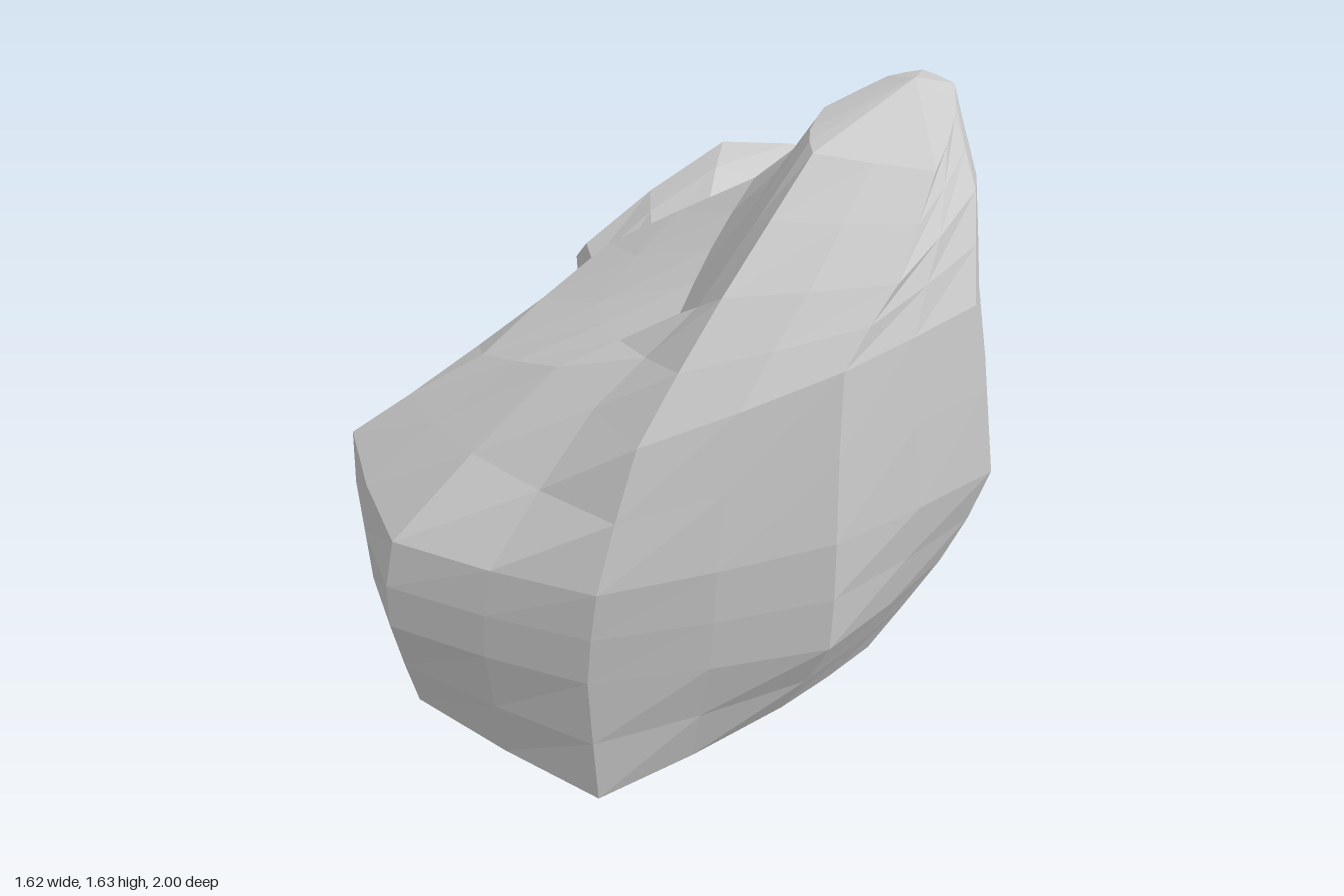
import * as THREE from 'three';

const material = new THREE.MeshStandardMaterial({ color: 0xcccccc, flatShading: true });
const vec = (p) => new THREE.Vector3(...p);

// Point between b and c, bulged softly along the run a-b-c-d
function between(a, b, c, d, bulge) {
  return b.clone().add(c).multiplyScalar(0.5 + bulge / 8)
    .addScaledVector(a, -bulge / 8).addScaledVector(d, -bulge / 8);
}

// Insert a softened midpoint between neighbours of a list
function refine(list, closed, bulge) {
  const n = list.length, out = [];
  const at = (i) => closed ? list[(i + n) % n] : list[Math.min(Math.max(i, 0), n - 1)];
  for (let i = 0; i < n; i++) {
    out.push(list[i].clone());
    if (closed || i < n - 1) out.push(between(at(i - 1), at(i), at(i + 1), at(i + 2), bulge));
  }
  return out;
}

// Faceted stone skinned over rings, closed with a fan at each end
function stone(name, rings, startPoint, endPoint) {
  const cols = rings[0].length, verts = [], index = [];
  rings.forEach((ring) => ring.forEach((p) => verts.push(p)));
  const start = verts.push(startPoint) - 1;
  const end = verts.push(endPoint) - 1;
  const last = (rings.length - 1) * cols;
  for (let c = 0; c < cols; c++) {
    const d = (c + 1) % cols;
    for (let r = 0; r < rings.length - 1; r++) {
      const lo = r * cols, hi = lo + cols;
      index.push(lo + c, lo + d, hi + d, lo + c, hi + d, hi + c);
    }
    index.push(start, d, c, end, last + c, last + d);
  }
  const geometry = new THREE.BufferGeometry().setFromPoints(verts);
  geometry.setIndex(index);
  geometry.computeVertexNormals();
  const mesh = new THREE.Mesh(geometry, material);
  mesh.name = name;
  return mesh;
}

// Columns of key points become refined rings
function ringsFromColumns(columns, along, around) {
  const fine = columns.map((col) => refine(col.map(vec), false, along));
  return fine[0].map((_, r) => refine(fine.map((col) => col[r]), true, around));
}

// Tall boulder: columns run from the base to the leaning peak
function mainBoulder() {
  const columns = [
    // front
    [[-0.07, 0.01, 0.93], [-0.08, 0.38, 0.98], [-0.05, 0.64, 1.0], [0.03, 0.98, 0.91], [0.19, 1.27, 0.71], [0.36, 1.53, 0.46]],
    // front left
    [[0.35, 0.2, 0.75], [0.47, 0.45, 0.85], [0.48, 0.75, 0.87], [0.48, 1.17, 0.83], [0.58, 1.32, 0.68], [0.64, 1.5, 0.45]],
    // left
    [[0.53, 0.17, 0.42], [0.7, 0.45, 0.42], [0.81, 0.73, 0.45], [0.75, 1.2, 0.51], [0.73, 1.43, 0.38], [0.67, 1.57, 0.27]],
    // back left
    [[0.45, 0.16, 0.08], [0.62, 0.45, 0.06], [0.75, 0.78, 0.08], [0.73, 1.1, 0.1], [0.71, 1.4, 0.14], [0.66, 1.61, 0.17]],
    // back
    [[0.05, 0.02, 0.0], [0.12, 0.38, -0.1], [0.2, 0.75, -0.18], [0.3, 1.1, -0.1], [0.43, 1.36, -0.02], [0.58, 1.61, 0.09]],
    // back right, running up the ridge
    [[-0.45, 0.07, 0.03], [-0.5, 0.35, -0.07], [-0.52, 0.66, -0.08], [-0.22, 1.03, -0.06], [0.17, 1.27, 0.01], [0.5, 1.6, 0.12]],
    // right
    [[-0.67, 0.03, 0.42], [-0.79, 0.35, 0.37], [-0.81, 0.65, 0.37], [-0.47, 0.88, 0.33], [0.1, 1.19, 0.28], [0.36, 1.55, 0.22]],
    // front right
    [[-0.55, 0.14, 0.78], [-0.59, 0.4, 0.85], [-0.57, 0.64, 0.85], [-0.22, 1.0, 0.59], [0.06, 1.12, 0.5], [0.34, 1.54, 0.34]],
  ];
  return stone('mainBoulder', ringsFromColumns(columns, 0.2, 0.12),
    new THREE.Vector3(-0.15, 0, 0.42), new THREE.Vector3(0.57, 1.63, 0.2));
}

// Leaning slab: columns run from the hidden underside to the broad, domed back face
function leaningSlab() {
  const columns = [
    [[0.05, 0.95, -0.14], [0.02, 1.1, -0.22], [0.02, 1.17, -0.46]],
    [[0.27, 0.8, -0.2], [0.36, 0.9, -0.3], [0.37, 1.12, -0.5]],
    [[0.38, 0.5, -0.4], [0.5, 0.62, -0.55], [0.53, 0.73, -0.72]],
    [[0.28, 0.2, -0.6], [0.4, 0.28, -0.68], [0.47, 0.44, -0.82]],
    [[0.08, 0.16, -0.65], [0.1, 0.2, -0.77], [0.14, 0.32, -0.95]],
    [[-0.1, 0.2, -0.62], [-0.22, 0.21, -0.8], [-0.29, 0.37, -1.0]],
    [[-0.25, 0.45, -0.3], [-0.38, 0.52, -0.42], [-0.42, 0.68, -0.65]],
    [[-0.18, 0.75, -0.08], [-0.24, 0.9, -0.06], [-0.32, 0.94, -0.24]],
  ];
  const rings = ringsFromColumns(columns, 0.4, 0.3);
  const backCentre = new THREE.Vector3(-0.02, 0.78, -0.83);
  const dome = new THREE.Vector3(0, 0.02, -0.025);
  const rim = rings[rings.length - 1];
  rings.push(rim.map((p) => p.clone().lerp(backCentre, 0.42).add(dome)));
  return stone('leaningSlab', rings, new THREE.Vector3(0.06, 0.55, -0.24), backCentre.add(dome));
}

// Rounded, slightly boxy stone; shape() bends each point
function roundedStone(name, centre, radii, cols, rows, shape) {
  const power = (v) => Math.sign(v) * Math.abs(v) ** 0.9;
  const place = (x, y, z) => shape(new THREE.Vector3(x, y, z)).multiply(vec(radii)).add(vec(centre));
  const rings = [];
  for (let r = 1; r < rows; r++) {
    const lat = (r / rows - 0.5) * Math.PI;
    const ring = [];
    for (let c = 0; c < cols; c++) {
      const a = (c / cols) * Math.PI * 2;
      const w = Math.cos(lat) ** 0.75;
      ring.push(place(w * power(Math.sin(a)), power(Math.sin(lat)), w * power(Math.cos(a))));
    }
    rings.push(ring);
  }
  return stone(name, rings, place(0, -1, 0), place(0, 1, 0));
}

export function createModel() {
  const group = new THREE.Group();
  group.name = 'rockCluster';
  group.add(mainBoulder(), leaningSlab());

  // Side stone dips toward the back and swings outward there
  group.add(roundedStone('sideStone', [0.525, 0.385, -0.375], [0.26, 0.19, 0.345], 14, 8, (p) => {
    p.x *= 0.97 + 0.05 * p.z;
    p.y += 0.28 * p.z;
    p.x += 0.04 * p.y - 0.12 * p.z;
    return p;
  }));

  // Pebble tapers toward its lower front
  group.add(roundedStone('pebble', [0.615, 0.34, 0.038], [0.055, 0.08, 0.11], 10, 6, (p) => {
    p.z *= 0.9 + 0.15 * p.y;
    p.x += 0.15 * p.y - 0.2 * p.z;
    return p;
  }));
  return group;
}
